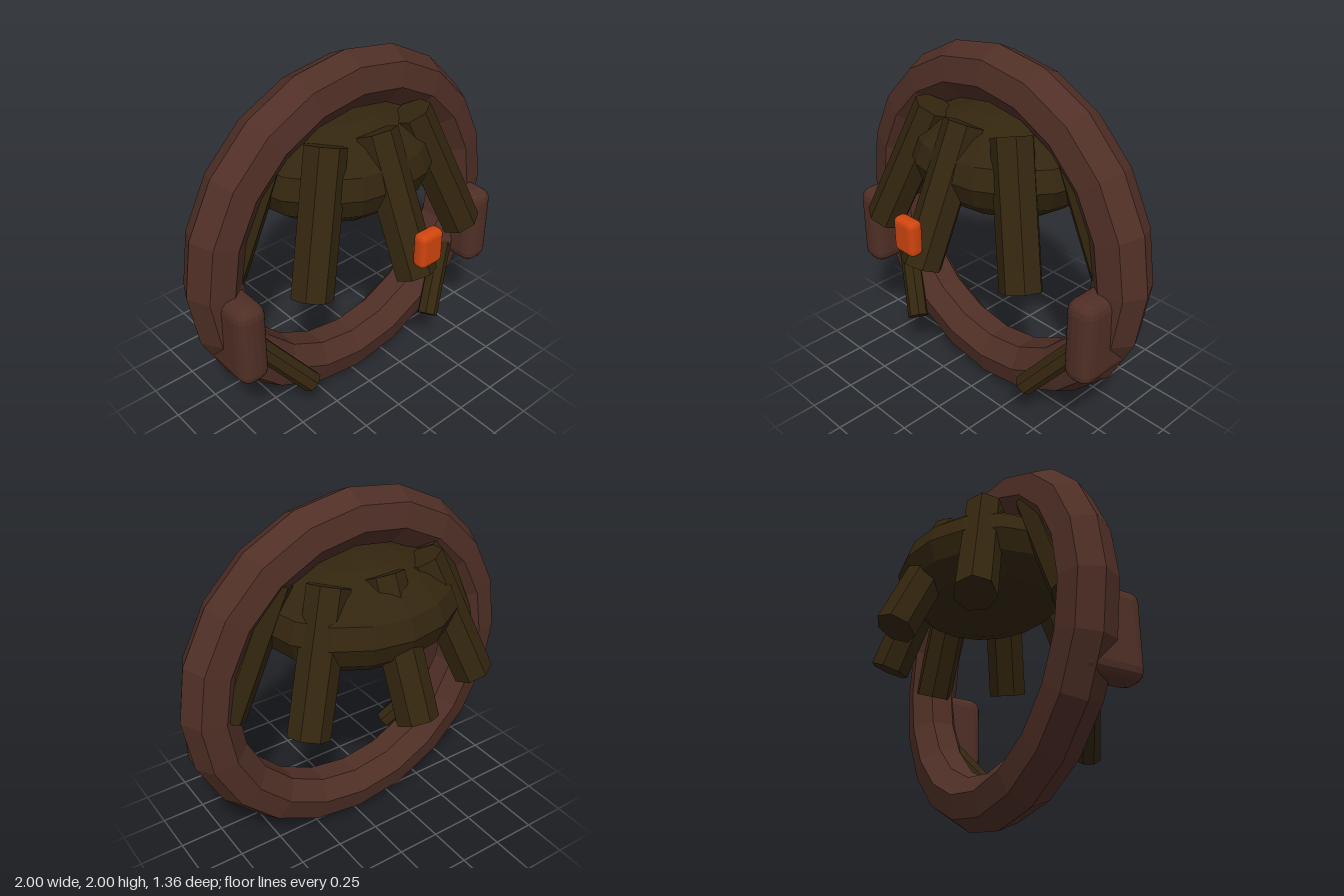
import * as THREE from 'three';
import { RoundedBoxGeometry } from 'three/addons/geometries/RoundedBoxGeometry.js';

const flat = (name, color) => {
  const m = new THREE.MeshStandardMaterial({ color, flatShading: true });
  m.name = name;
  return m;
};

export function createModel() {
  const model = new THREE.Group();
  model.name = 'ringedPod';
  const brown = flat('reddish brown', 0x4f2f26);
  const olive = flat('dark olive', 0x33260f);
  const orange = flat('orange', 0xd0450f);

  const add = (name, geometry, material, x, y, z) => {
    const mesh = new THREE.Mesh(geometry, material);
    mesh.name = name;
    mesh.position.set(x, y, z);
    model.add(mesh);
    return mesh;
  };

  // Seven-sided rod from a to b, with one edge turned to the heading angle
  const rod = (name, a, b, radius) => {
    const d = new THREE.Vector3().subVectors(b, a);
    const geo = new THREE.CylinderGeometry(radius, radius, d.length(), 7);
    geo.rotateX(-Math.atan2(Math.hypot(d.x, d.z), -d.y));
    geo.rotateY(Math.atan2(d.x, d.z));
    const mid = new THREE.Vector3().addVectors(a, b).multiplyScalar(0.5);
    return add(name, geo, olive, mid.x, mid.y, mid.z);
  };

  // Upright ring
  add('ring', new THREE.TorusGeometry(0.85, 0.15, 7, 20), brown, 0, 1, 0.025);

  // Flattened body inside the ring
  const body = new THREE.SphereGeometry(1, 16, 8).scale(0.55, 0.28, 0.49);
  add('body', body, olive, 0, 1.41, -0.045);

  // Eight splayed legs: [top x, top z, foot x, foot z], mirrored
  const leg = (tx, tz, fx, fz) => rod('leg',
    new THREE.Vector3(tx, 1.65, tz - 0.005), new THREE.Vector3(fx, 0.975, fz - 0.005), 0.11);
  for (const s of [-1, 1]) {
    leg(0, s * 0.26, 0, s * 0.575);
    leg(s * 0.46, 0, s * 0.77, 0);
    for (const t of [-1, 1]) leg(s * 0.28, t * 0.21, s * 0.525, t * 0.39);
  }

  // Orange light in front of the front leg
  add('light', new RoundedBoxGeometry(0.145, 0.19, 0.08, 2, 0.03), orange, 0, 1.175, 0.64);

  // Side pods and the short arms below them
  for (const s of [-1, 1]) {
    add('sidePod', new RoundedBoxGeometry(0.17, 0.47, 0.35, 2, 0.065), brown, s * 0.808, 0.765, 0.14);
    rod('arm', new THREE.Vector3(s * 0.7, 0.61, 0.11), new THREE.Vector3(s * 0.44, 0.285, 0.27), 0.06);
  }
  return model;
}
